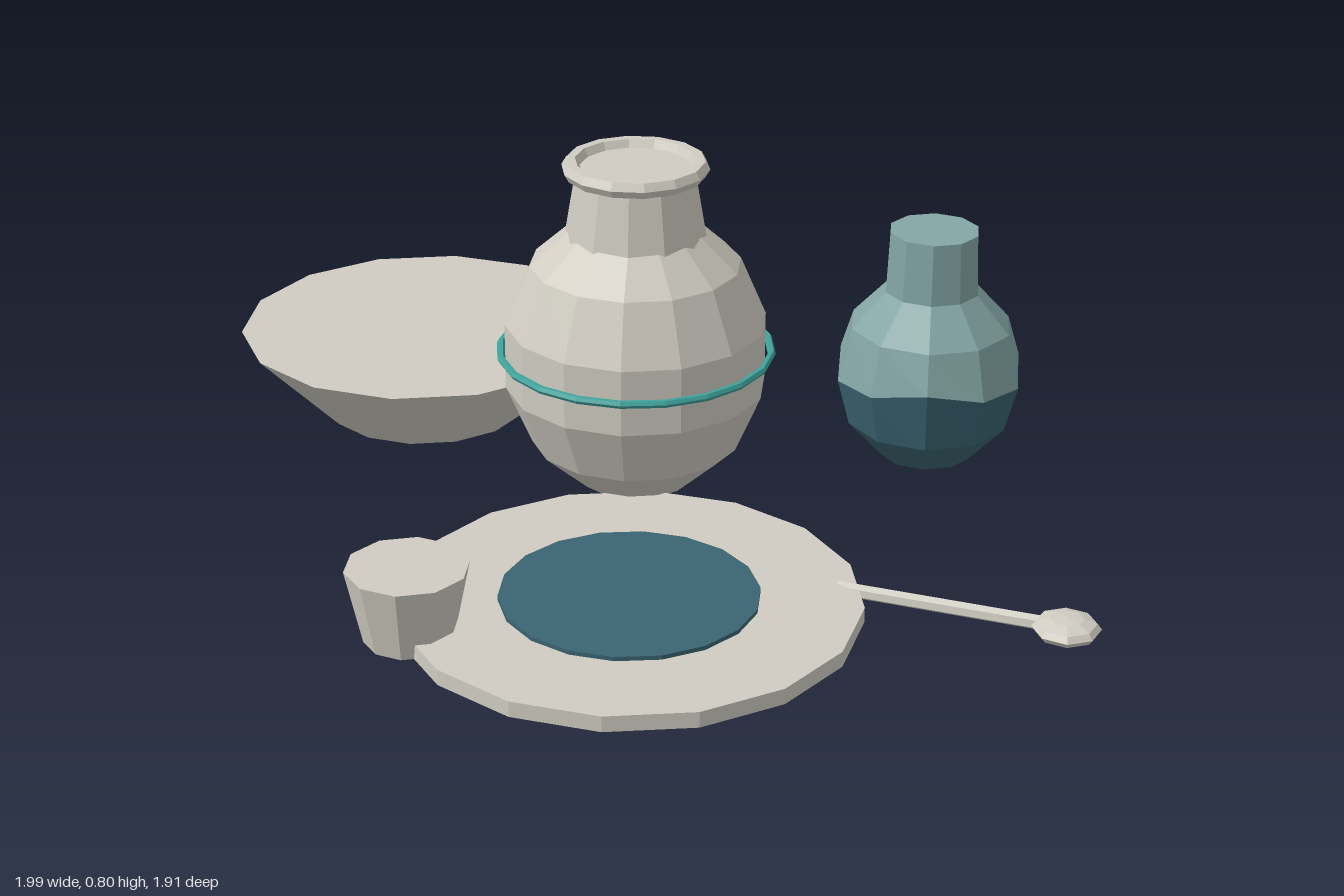
import * as THREE from 'three';

const mat = (name, color) => Object.assign(new THREE.MeshStandardMaterial({ color }), { name });

// Faceted copy: every face keeps its own normal
function faceted(geometry) {
  const flat = geometry.index ? geometry.toNonIndexed() : geometry;
  flat.computeVertexNormals();
  return flat;
}

export function createModel() {
  const model = new THREE.Group();
  const clay = mat('pale clay', 0xd0ccc2);
  const glaze = mat('deep blue glaze', 0x3a6472);
  const celadon = mat('grey green glaze', 0x84a5a5);
  const teal = mat('teal band', 0x3fa39d);

  function add(parent, name, geometry, material, x = 0, y = 0, z = 0) {
    const mesh = new THREE.Mesh(faceted(geometry), material);
    mesh.name = name;
    mesh.position.set(x, y, z);
    parent.add(mesh);
    return mesh;
  }
  function group(name, x, z) {
    const g = new THREE.Group();
    g.name = name;
    g.position.set(x, 0, z);
    model.add(g);
    return g;
  }
  // Round solid standing between two heights
  const turned = (parent, name, rTop, rBottom, y0, y1, sides, material) =>
    add(parent, name, new THREE.CylinderGeometry(rTop, rBottom, y1 - y0, sides), material, 0, (y0 + y1) / 2, 0);

  // Wide bowl, plate with glaze pool, and cup
  turned(group('bowl', -0.575, -0.525), 'bowlBody', 0.435, 0.24, 0.02, 0.225, 14, clay);
  const plate = group('plate', 0.025, 0.46);
  turned(plate, 'plateDisc', 0.49, 0.49, 0.02, 0.055, 16, clay);
  turned(plate, 'plateGlaze', 0.275, 0.275, 0.055, 0.0645, 18, glaze);
  turned(group('cup', -0.412, 0.622), 'cupBody', 0.13, 0.095, 0.02, 0.185, 10, clay);

  // Tall jar with neck, rolled rim and painted band
  const jar = group('jar', -0.027, -0.14);
  const belly = new THREE.SphereGeometry(0.3, 14, 7).rotateY(Math.PI / 2).scale(1, 0.34 / 0.3, 1);
  add(jar, 'jarBelly', belly, clay, 0, 0.35, 0);
  turned(jar, 'jarNeck', 0.13, 0.157, 0.625, 0.785, 12, clay);
  add(jar, 'jarRim', new THREE.TorusGeometry(0.143, 0.02, 6, 14).rotateX(Math.PI / 2), clay, 0, 0.785, 0);
  add(jar, 'jarBand', new THREE.TorusGeometry(0.304, 0.009, 6, 20).rotateX(Math.PI / 2), teal, 0, 0.355, 0);

  // Dipped bottle: two half ellipsoids meeting at a wavy glaze line
  const bottle = group('bottle', 0.625, -0.36);
  function half(start) {
    const g = new THREE.SphereGeometry(0.215, 10, 3, 0, Math.PI * 2, start, Math.PI / 2);
    g.rotateY(Math.PI / 2).scale(1, 0.235 / 0.215, 1);
    const p = g.attributes.position;
    for (let i = 0; i < p.count; i++) {
      if (Math.abs(p.getY(i)) > 0.001) continue;
      const a = Math.atan2(p.getX(i), p.getZ(i));
      p.setY(i, 0.008 + 0.02 * Math.cos(3 * a));
    }
    return g;
  }
  add(bottle, 'bottleUpper', half(0), celadon, 0, 0.235, 0);
  add(bottle, 'bottleDip', half(Math.PI / 2), glaze, 0, 0.235, 0);
  turned(bottle, 'bottleNeck', 0.103, 0.109, 0.435, 0.58, 10, celadon);

  // Spoon leaning on the plate edge
  const spoon = group('spoon', 0, 0);
  const tail = new THREE.Vector3(0.455, 0.042, 0.355);
  const head = new THREE.Vector3(0.9, 0.09, 0.555);
  const along = head.clone().sub(tail);
  const handle = add(spoon, 'spoonHandle', new THREE.CylinderGeometry(0.016, 0.016, along.length(), 6), clay);
  handle.position.copy(tail).addScaledVector(along, 0.5);
  handle.quaternion.setFromUnitVectors(new THREE.Vector3(0, 1, 0), along.normalize());
  add(spoon, 'spoonHead', new THREE.SphereGeometry(0.071, 8, 6).scale(1, 0.35, 1), clay, 0.924, 0.092, 0.567);

  return model;
}
